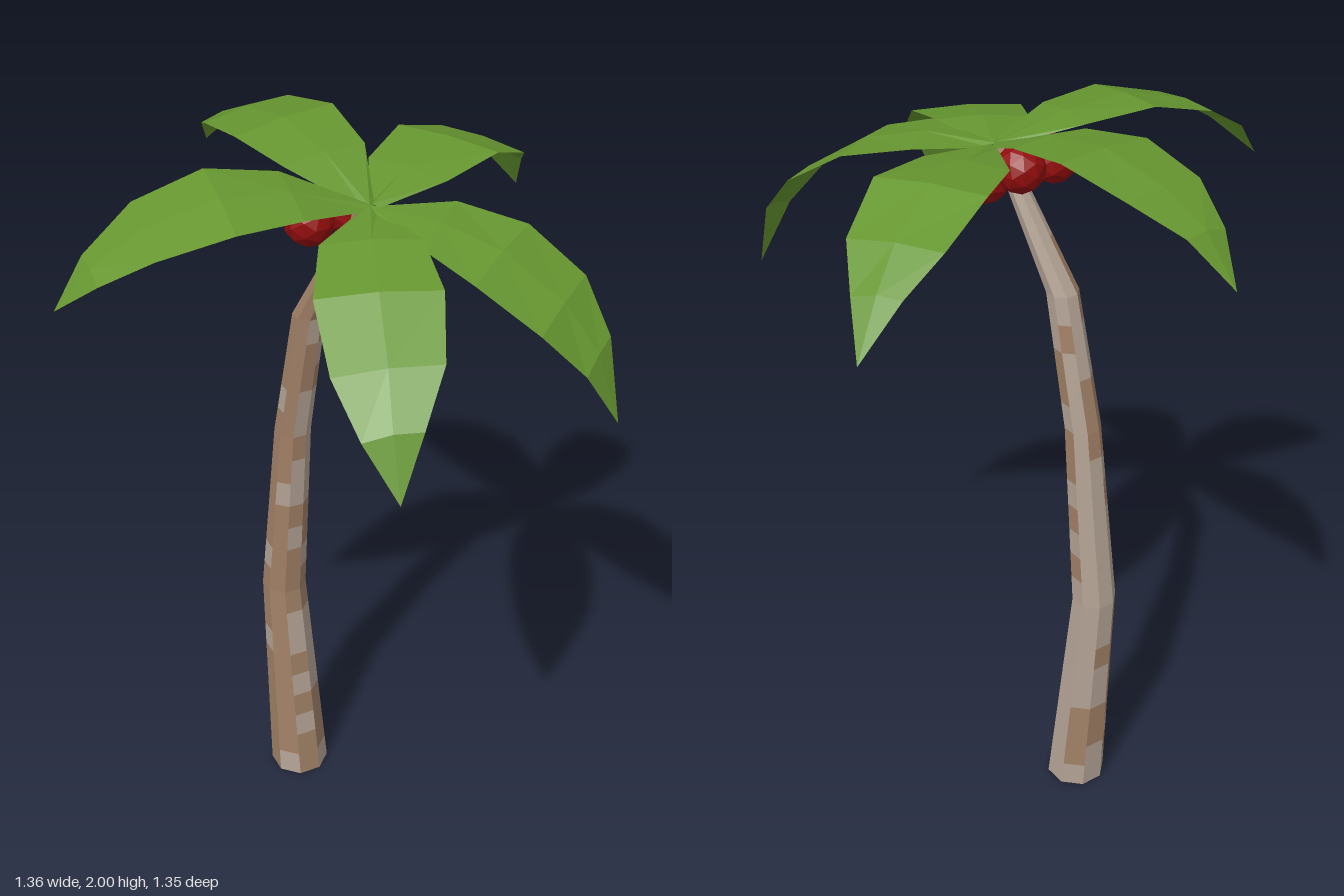
import * as THREE from 'three';

const material = (name, color, side = THREE.FrontSide) => {
  const m = new THREE.MeshStandardMaterial({ color, side, flatShading: true });
  m.name = name;
  return m;
};

// Builds a flat-faceted geometry from a list of [x, y, z] triangle corners
function facets(points) {
  const g = new THREE.BufferGeometry();
  g.setAttribute('position', new THREE.Float32BufferAttribute(points.flat(), 3));
  g.computeVertexNormals();
  return g;
}
const quad = (a, b, c, d) => [a, b, c, a, c, d];

// Trunk spine: x, y, z, radius
const SPINE = [
  [-0.21, 0, 0.05, 0.082],
  [-0.25, 0.65, 0.05, 0.06],
  [-0.2, 1.18, 0.05, 0.048],
  [-0.132, 1.55, 0.05, 0.042],
  [0.04, 1.89, 0.04, 0.022],
];
const SIDES = 8;

function makeTrunk(barkMat, paleMat) {
  let seed = 7;
  const random = () => (seed = (seed * 16807) % 2147483647) / 2147483647;
  const ring = (s) => Array.from({ length: SIDES }, (_, k) => {
    const a = (k / SIDES) * Math.PI * 2;
    return [s[0] + Math.sin(a) * s[3], s[1], s[2] + Math.cos(a) * s[3]];
  });
  const bark = [], pale = [];
  for (let i = 0; i < SPINE.length - 1; i++) {
    const rows = Math.round((SPINE[i + 1][1] - SPINE[i][1]) / 0.075);
    const at = (t) => ring(SPINE[i].map((v, j) => v + (SPINE[i + 1][j] - v) * t));
    for (let r = 0; r < rows; r++) {
      const lo = at(r / rows), hi = at((r + 1) / rows);
      for (let k = 0; k < SIDES; k++) {
        const n = (k + 1) % SIDES;
        // weathered pale patches, mostly on the back
        const chance = 0.5 - 0.34 * Math.cos(((k + 0.5) / SIDES) * Math.PI * 2);
        (random() < chance ? pale : bark).push(...quad(lo[k], lo[n], hi[n], hi[k]));
      }
    }
  }
  // end caps
  const base = ring(SPINE[0]), top = ring(SPINE[SPINE.length - 1]);
  for (let k = 1; k < SIDES - 1; k++) {
    bark.push(base[0], base[k + 1], base[k], top[0], top[k], top[k + 1]);
  }
  const trunk = new THREE.Group();
  trunk.name = 'trunk';
  for (const [name, pts, mat] of [['bark', bark, barkMat], ['palePatches', pale, paleMat]]) {
    const mesh = new THREE.Mesh(facets(pts), mat);
    mesh.name = name;
    trunk.add(mesh);
  }
  return trunk;
}

// Fronds from root to tip: left and right edge points, then the tip
const FRONDS = {
  backFrond: {
    left: [[0.045, 1.89, 0.03], [-0.085, 1.92, -0.12], [-0.135, 1.935, -0.29], [-0.14, 1.875, -0.47], [-0.105, 1.8, -0.58]],
    right: [[0.075, 1.89, 0.03], [0.135, 1.915, -0.15], [0.145, 1.93, -0.33], [0.1, 1.86, -0.5], [0.02, 1.785, -0.6]],
    tip: [-0.05, 1.67, -0.68],
  },
  rightSideFrond: {
    left: [[0.06, 1.89, 0.06], [-0.15, 1.955, 0.11], [-0.32, 1.975, 0.095], [-0.49, 1.942, 0.03], [-0.6, 1.885, -0.06]],
    right: [[0.06, 1.89, 0.025], [-0.08, 1.965, -0.1], [-0.25, 1.995, -0.175], [-0.43, 1.96, -0.205], [-0.57, 1.9, -0.185]],
    tip: [-0.68, 1.79, -0.15],
  },
  leftSideFrond: {
    left: [[0.06, 1.89, 0.025], [0.2, 1.9, -0.105], [0.36, 1.87, -0.17], [0.51, 1.78, -0.195], [0.61, 1.67, -0.165]],
    right: [[0.06, 1.89, 0.055], [0.28, 1.885, 0.115], [0.42, 1.84, 0.105], [0.565, 1.74, 0.045], [0.64, 1.63, -0.035]],
    tip: [0.68, 1.485, -0.12],
  },
  frontLeftFrond: {
    left: [[0.075, 1.89, 0.03], [0.26, 1.895, 0.09], [0.4, 1.855, 0.185], [0.5, 1.76, 0.3], [0.528, 1.65, 0.4]],
    right: [[0.05, 1.89, 0.055], [0.09, 1.885, 0.25], [0.2, 1.845, 0.39], [0.33, 1.74, 0.48], [0.435, 1.63, 0.5]],
    tip: [0.53, 1.5, 0.48],
  },
  frontRightFrond: {
    left: [[0.075, 1.89, 0.045], [0.05, 1.93, 0.25], [-0.005, 1.935, 0.41], [-0.115, 1.89, 0.555], [-0.225, 1.82, 0.63]],
    right: [[0.045, 1.89, 0.03], [-0.14, 1.955, 0.135], [-0.25, 1.975, 0.27], [-0.325, 1.925, 0.43], [-0.34, 1.84, 0.575]],
    tip: [-0.34, 1.735, 0.67],
  },
};

function makeFrond({ left, right, tip }) {
  // slightly raised rib along the middle
  const rib = left.map((l, i) => l.map((v, j) => (v + right[i][j]) / 2 + (j === 1 ? 0.008 : 0)));
  const pts = [];
  const last = left.length - 1;
  for (let i = 0; i < last; i++) {
    pts.push(...quad(left[i], rib[i], rib[i + 1], left[i + 1]));
    pts.push(...quad(rib[i], right[i], right[i + 1], rib[i + 1]));
  }
  pts.push(left[last], rib[last], tip, rib[last], right[last], tip);
  return facets(pts);
}

export function createModel() {
  const bark = material('brown bark', 0xa08066);
  const pale = material('pale bark', 0xb3a294);
  const leaf = material('leaf green', 0x669630, THREE.DoubleSide);
  const red = material('fruit red', 0x930d0d);

  const palm = new THREE.Group();
  palm.name = 'palmTree';
  palm.add(makeTrunk(bark, pale));

  for (const [name, shape] of Object.entries(FRONDS)) {
    const frond = new THREE.Mesh(makeFrond(shape), leaf);
    frond.name = name;
    palm.add(frond);
  }

  // Fruit cluster under the crown
  const fruitShape = new THREE.IcosahedronGeometry(0.062, 1);
  [[-0.055, 1.853, 0.125], [-0.025, 1.857, 0.025], [0.083, 1.8, 0.035]].forEach((p, i) => {
    const fruit = new THREE.Mesh(fruitShape, red);
    fruit.name = `fruit${i + 1}`;
    fruit.position.set(...p);
    fruit.rotation.set(i, i * 2, 0);
    palm.add(fruit);
  });
  return palm;
}
